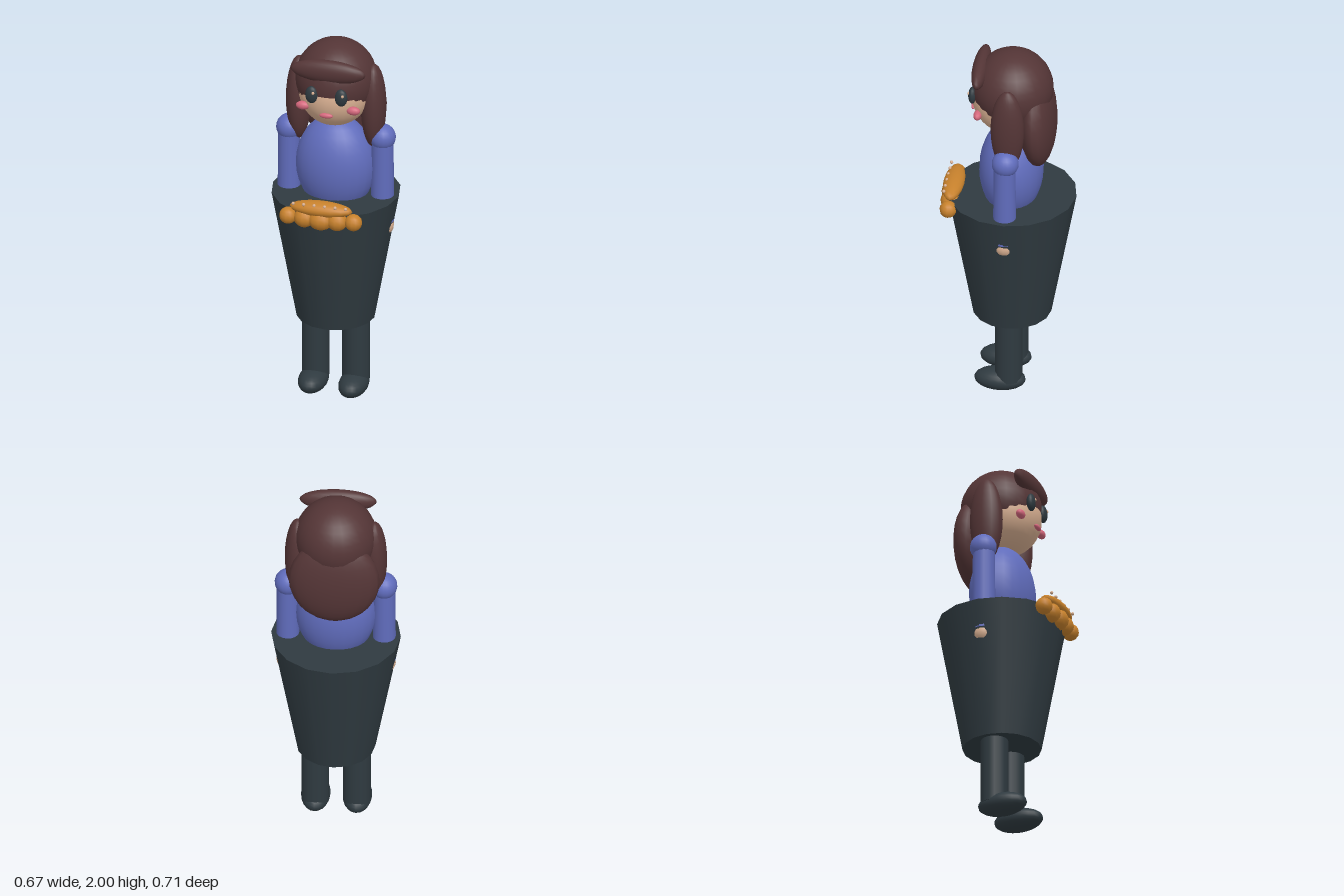
import * as THREE from 'three';

const mat = (name, color) => {
  const m = new THREE.MeshStandardMaterial({ color });
  m.name = name;
  return m;
};

export function createModel() {
  const model = new THREE.Group();
  model.name = 'girlInTub';

  const dark = mat('charcoal', 0x2f3a40);
  const hair = mat('brownHair', 0x543536);
  const skin = mat('skin', 0xd9b092);
  const blue = mat('blueCloth', 0x606cbc);
  const pink = mat('pink', 0xd4677c);
  const crust = mat('goldenCrust', 0xc7812c);

  const add = (name, geometry, material, pos) => {
    const mesh = new THREE.Mesh(geometry, material);
    mesh.name = name;
    mesh.position.set(...pos);
    model.add(mesh);
    return mesh;
  };
  // Ellipsoid from centre and three radii
  const blob = (name, material, pos, radii, w = 20, h = 14) =>
    add(name, new THREE.SphereGeometry(1, w, h).scale(...radii), material, pos);
  const tube = (name, material, pos, rTop, rBottom, height) =>
    add(name, new THREE.CylinderGeometry(rTop, rBottom, height, 16), material, pos);

  // Tapered tub and torso
  tube('tub', dark, [0, 0.7875, -0.018], 0.336, 0.205, 0.715);
  blob('torso', blue, [0, 1.3, -0.015], [0.21, 0.27, 0.167], 24, 16);

  // Head and hair
  blob('head', skin, [0, 1.73, 0], [0.19, 0.19, 0.19], 24, 18);
  blob('hairCap', hair, [0, 1.789, -0.022], [0.213, 0.211, 0.211], 24, 18);
  blob('backHair', hair, [0, 1.605, -0.155], [0.236, 0.25, 0.094]).rotation.x = 0.05;
  blob('fringeRoll', hair, [0, 1.896, 0.143], [0.2, 0.063, 0.044]);

  // Face
  blob('mouth', pink, [0, 1.66, 0.182], [0.037, 0.014, 0.013], 14, 10);

  for (const s of [-1, 1]) {
    const side = s > 0 ? 'left' : 'right';
    blob(side + 'HairLock', hair, [s * 0.2, 1.65, -0.022], [0.065, 0.235, 0.088]);
    blob(side + 'Eye', dark, [s * 0.079, 1.77, 0.178], [0.034, 0.048, 0.022], 14, 10);
    blob(side + 'EyeGlint', skin, [s * 0.079 + 0.012, 1.787, 0.196], [0.008, 0.009, 0.007], 8, 6);
    blob(side + 'Cheek', pink, [s * 0.135, 1.686, 0.143], [0.037, 0.023, 0.022], 14, 10);

    // Arms reach down into the tub
    blob(side + 'Shoulder', blue, [s * 0.25, 1.475, -0.018], [0.068, 0.07, 0.07]);
    tube(side + 'Arm', blue, [s * 0.25, 1.23, -0.015], 0.057, 0.061, 0.46);
    blob(side + 'Hand', skin, [s * 0.25, 0.975, -0.015], [0.06, 0.06, 0.06], 16, 12);

    // Legs
    tube(side + 'Leg', dark, [s * 0.108, 0.265, -0.015], 0.072, 0.072, 0.39);
    blob(side + 'Foot', dark, [s * 0.108, 0.062, 0.03], [0.076, 0.06, 0.134]);
  }

  // Bread roll on the rim: row of lobes, top loaf and beads
  for (let i = -2; i <= 2; i++) {
    const a = Math.abs(i);
    const radii = [[0.068, 0.056, 0.06], [0.056, 0.052, 0.053], [0.046, 0.045, 0.045]][a];
    blob('breadLobe', crust, [i * 0.0875, 1.114 + a * 0.002, 0.291], radii, 12, 8);
  }
  blob('breadTop', crust, [0, 1.174, 0.286], [0.168, 0.04, 0.055], 16, 10);
  for (let i = 0; i < 6; i++) {
    blob('bead', skin, [-0.14 + i * 0.056, 1.203, 0.319], [0.009, 0.009, 0.009], 8, 6);
  }

  return model;
}
